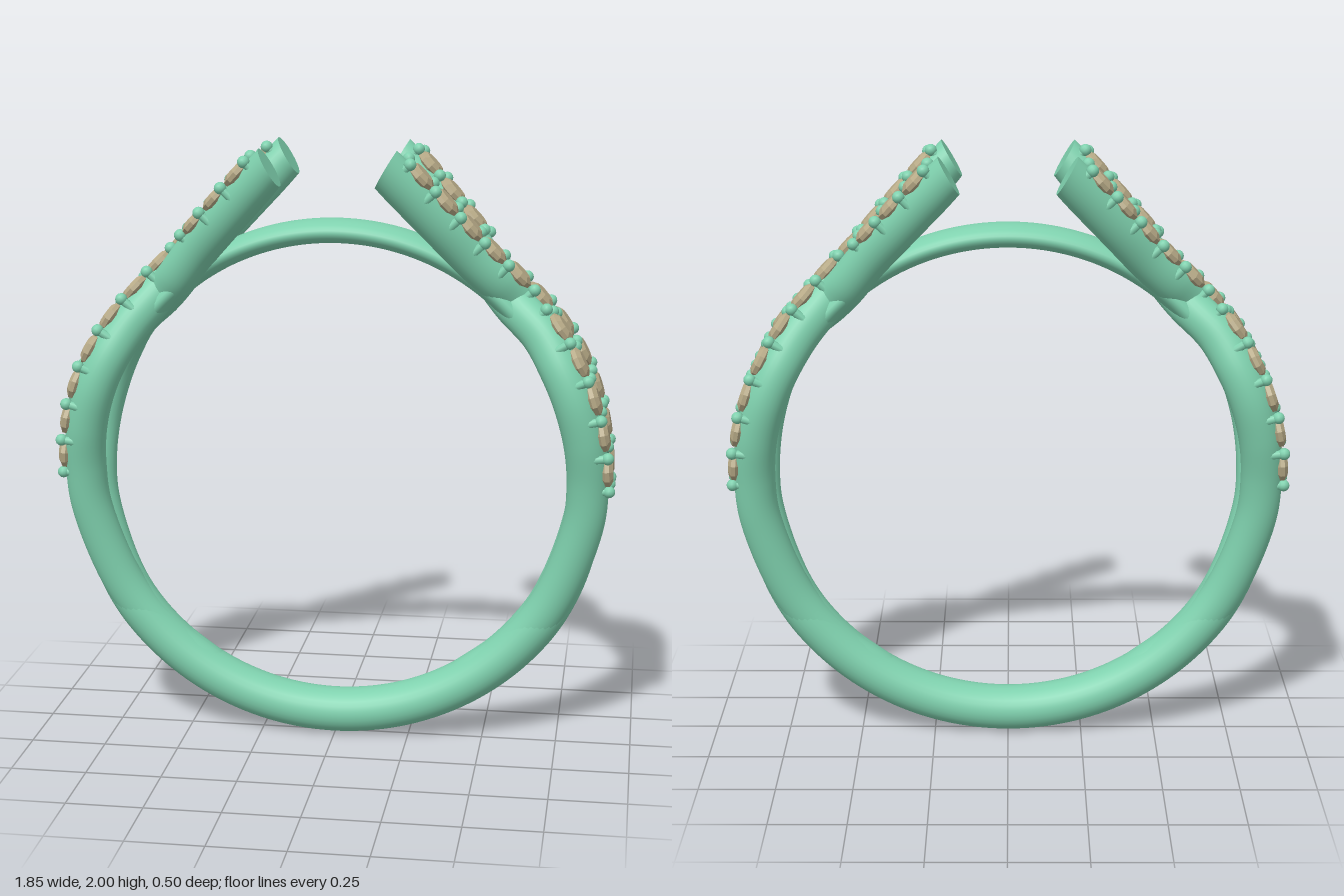
import * as THREE from 'three';

const metal = new THREE.MeshStandardMaterial({ color: 0x7fd1ae });
const stone = new THREE.MeshStandardMaterial({ color: 0xb8ab88, flatShading: true });
const CENTRE_Y = 0.915;
const SIDES = 28;

// Point on the finger circle, angle in degrees from +x
function onCircle(deg, radius, z = 0) {
  const a = THREE.MathUtils.degToRad(deg);
  return new THREE.Vector3(radius * Math.cos(a), CENTRE_Y + radius * Math.sin(a), z);
}

function arc(from, to, radius) {
  const points = [];
  for (let i = 0; i <= 32; i++) points.push(onCircle(from + (to - from) * i / 32, radius));
  return new THREE.CatmullRomCurve3(points);
}

// Outward direction in the xy plane for a path tangent
const outward = (t) => new THREE.Vector3(t.y, -t.x, 0).normalize();

// Sweep an ellipse along a curve; size(t) gives [radial half, z half]
function sweep(curve, rings, size, endNormal) {
  const pos = [], index = [];
  for (let i = 0; i <= rings; i++) {
    const t = i / rings;
    const c = curve.getPointAt(t);
    const n = outward(curve.getTangentAt(t));
    if (endNormal) n.lerp(endNormal, THREE.MathUtils.clamp((t - 0.94) / 0.06, 0, 1)).normalize();
    const [a, b] = size(t);
    for (let j = 0; j < SIDES; j++) {
      const p = j / SIDES * Math.PI * 2;
      pos.push(c.x + n.x * a * Math.cos(p), c.y + n.y * a * Math.cos(p), c.z + b * Math.sin(p));
    }
  }
  for (let i = 0; i < rings; i++) {
    for (let j = 0; j < SIDES; j++) {
      const k = (j + 1) % SIDES;
      const a = i * SIDES + j, b = i * SIDES + k;
      index.push(a, a + SIDES, b, b, a + SIDES, b + SIDES);
    }
  }
  // Flat end caps with their own corners
  for (const end of [0, 1]) {
    const c = curve.getPointAt(end);
    const base = pos.length / 3;
    const ring = end * rings * SIDES * 3;
    pos.push(c.x, c.y, c.z, ...pos.slice(ring, ring + SIDES * 3));
    for (let j = 0; j < SIDES; j++) {
      const a = base + 1 + j, b = base + 1 + (j + 1) % SIDES;
      if (end) index.push(base, b, a);
      else index.push(base, a, b);
    }
  }
  const g = new THREE.BufferGeometry();
  g.setAttribute('position', new THREE.Float32BufferAttribute(pos, 3));
  g.setIndex(index);
  g.computeVertexNormals();
  return g;
}

// One crossing strand: follows the circle, then leaves it in a straight prong
function strandCurve(side, dip) {
  const onRing = [[-60, 0], [-45, 0.008], [-30, 0.02], [-10, 0.05], [0, 0.07], [10, 0.1],
    [20, 0.115], [28, 0.102], [36, 0.062], [45, 0.008]];
  const points = onRing.map(([deg, z]) => onCircle(deg, 0.835 - (deg > 40 ? dip : 0), z * side));
  points.push(
    new THREE.Vector3(0.54 - dip * 0.7, 1.56 - dip * 0.7, -0.03 * side),
    new THREE.Vector3(0.45, 1.65, -0.07 * side),
    new THREE.Vector3(0.36, 1.75, -0.115 * side),
    new THREE.Vector3(0.185, 1.94, -0.185 * side));
  return new THREE.CatmullRomCurve3(points);
}

function mesh(name, geometry, material) {
  const m = new THREE.Mesh(geometry, material);
  m.name = name;
  return m;
}

// Faceted stone, bead and post shared by all settings
const gemGeometry = new THREE.LatheGeometry(
  [[0, -0.03], [0.04, -0.02], [0.055, -0.008], [0.055, 0.006], [0.036, 0.018], [0, 0.018]]
    .map(([x, y]) => new THREE.Vector2(x, y)), 10);
const beadGeometry = new THREE.SphereGeometry(0.02, 12, 8);
const postGeometry = new THREE.CylinderGeometry(0.014, 0.014, 0.05, 8);

// Group standing on the strand surface: x across, y outward, z along
function seat(curve, s, name) {
  const u = s / curve.getLength();
  const t = curve.getTangentAt(u);
  const n = outward(t);
  const g = new THREE.Group();
  g.name = name;
  g.quaternion.setFromRotationMatrix(
    new THREE.Matrix4().makeBasis(new THREE.Vector3().crossVectors(n, t), n, t));
  g.position.copy(curve.getPointAt(u));
  return g;
}

function addStones(parent, curve, skip) {
  const count = 11, first = 0.93, last = curve.getLength() - 0.09;
  const step = (last - first) / (count - 1);
  const has = (i) => i >= 0 && i < count && !skip.includes(i);
  for (let i = 0; i <= count; i++) {
    if (has(i)) {
      const g = seat(curve, first + step * i, 'stoneSetting');
      const gem = mesh('gem', gemGeometry, stone);
      gem.position.y = 0.065;
      g.add(gem);
      parent.add(g);
    }
    // Pair of prongs in each gap beside a stone
    if (has(i) || has(i - 1)) {
      const g = seat(curve, first + step * (i - 0.5), 'prongPair');
      const spread = has(i) && has(i - 1) ? 0.046 : 0.032;
      for (const x of [-spread, spread]) {
        const bead = mesh('prongBead', beadGeometry, metal);
        bead.position.set(x, 0.07, 0);
        const post = mesh('prongPost', postGeometry, metal);
        post.position.set(x, 0.045, 0);
        g.add(bead, post);
      }
      parent.add(g);
    }
  }
}

function shoulder() {
  const g = new THREE.Group();
  g.name = 'shoulder';
  const endNormal = new THREE.Vector3(0.5, 0.86, 0);
  for (const [side, dip, skip] of [[-1, 0, []], [1, 0.015, [5, 6, 7]]]) {
    const curve = strandCurve(side, dip);
    g.add(mesh(dip ? 'underStrand' : 'overStrand',
      sweep(curve, 120, () => [0.068, 0.065], endNormal), metal));
    addStones(g, curve, skip);
  }
  return g;
}

export function createModel() {
  const model = new THREE.Group();
  model.name = 'ring';

  // Lower band, thinning where it vanishes between the strands
  const taper = (t) => THREE.MathUtils.smoothstep(Math.min(t, 1 - t), 0, 0.22);
  model.add(mesh('lowerBand', sweep(arc(-182, 2, 0.84), 128,
    (t) => [0.05 + 0.025 * taper(t), 0.025 + 0.055 * taper(t)]), metal));

  // Thin bridge closing the finger circle at the top
  model.add(mesh('topBridge', sweep(arc(40, 140, 0.805), 72, () => [0.04, 0.08]), metal));

  // Two shoulders, a half turn apart
  for (const turn of [0, Math.PI]) {
    const s = shoulder();
    s.rotation.y = turn;
    model.add(s);
  }
  return model;
}
